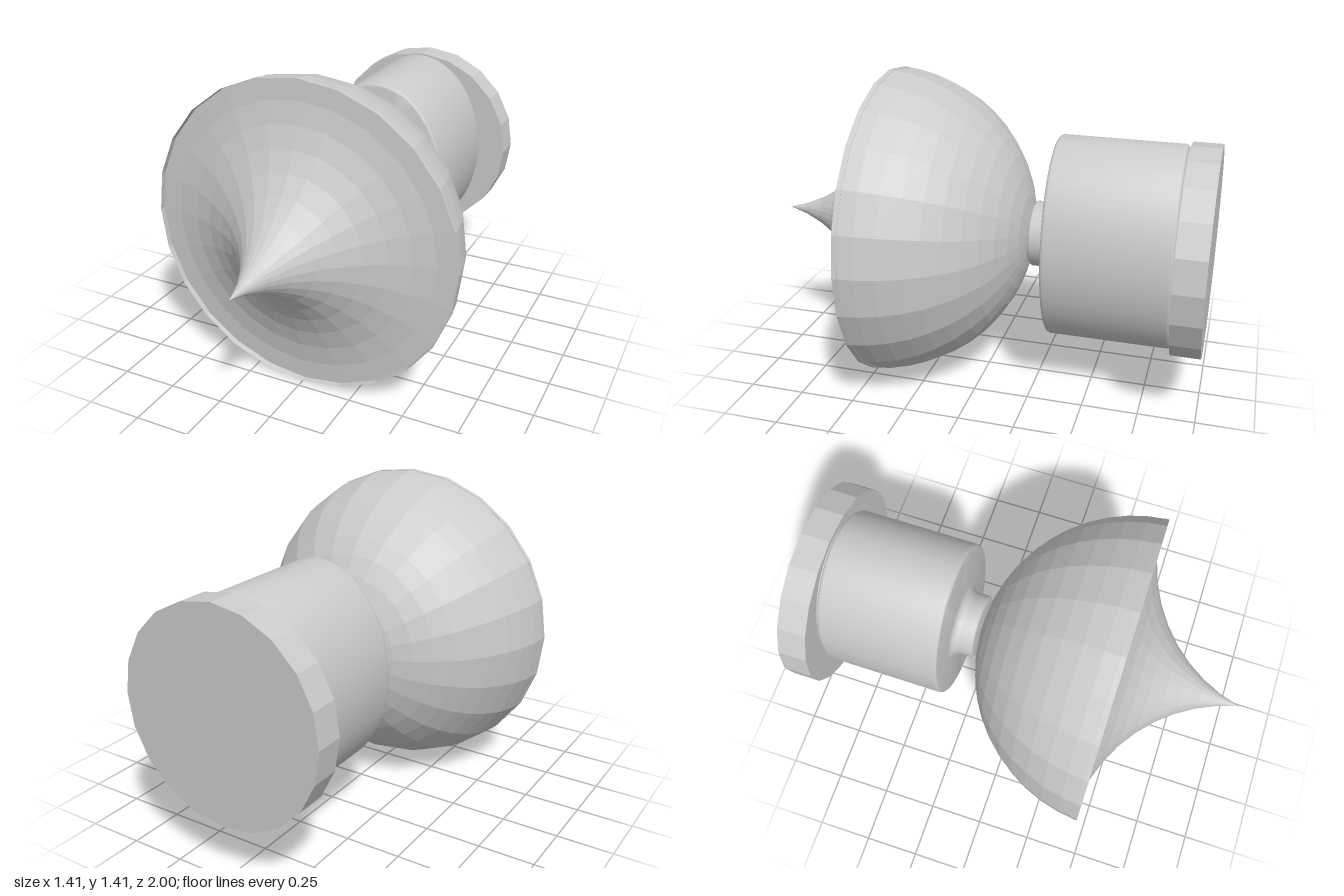
import * as THREE from 'three';
import { toCreasedNormals } from 'three/addons/utils/BufferGeometryUtils.js';

const CENTRE_Y = 0.705;

// Points [radius, z] on a circular arc, angles in degrees
function arc(cr, cz, radius, from, to, steps) {
  return Array.from({ length: steps + 1 }, (_, i) => {
    const a = THREE.MathUtils.degToRad(from + (to - from) * i / steps);
    return [Math.max(0, cr + radius * Math.cos(a)), cz + radius * Math.sin(a)];
  });
}

// Turned part along z; the profile runs from back to front
function turned(name, profile, sides, { flat = true, widthScale = 1 } = {}) {
  let geometry = new THREE.LatheGeometry(profile.map(p => new THREE.Vector2(...p)), sides);
  geometry.rotateX(Math.PI / 2);
  geometry.scale(widthScale, 1, 1);
  if (!flat) geometry = toCreasedNormals(geometry, Math.PI / 5);
  const mesh = new THREE.Mesh(geometry, new THREE.MeshStandardMaterial({
    color: 0xcccccc, flatShading: flat, side: THREE.DoubleSide,
  }));
  mesh.name = name;
  mesh.position.y = CENTRE_Y;
  return mesh;
}

export function createModel() {
  const group = new THREE.Group();

  // Faceted round base plate at the back
  group.add(turned('backPlate', [[0, -1], [0.465, -1], [0.465, -0.87], [0, -0.87]], 20));

  // Smooth oval barrel with softened edges
  group.add(turned('barrel', [
    [0, -0.88], [0.44, -0.88], [0.44, -0.865],
    ...arc(0.447, -0.847, 0.015, -90, 0, 4),
    ...arc(0.447, -0.325, 0.015, 0, 90, 4),
    [0, -0.31],
  ], 64, { flat: false, widthScale: 0.335 / 0.462 }));

  // Neck with a fillet into the barrel and a rounded front edge
  group.add(turned('neck', [
    [0.187, -0.312],
    ...arc(0.187, -0.27, 0.04, 270, 180, 6),
    ...arc(0.135, -0.222, 0.012, 0, 90, 4),
    [0, -0.205],
  ], 40, { flat: false }));

  // Faceted hemispherical bowl, cut just before its equator
  group.add(turned('dome', arc(0, 0.5, 0.705, -90, -3.2, 12), 24));

  // Concave face sweeping from the rim to a sharp point
  const tipAngle = THREE.MathUtils.radToDeg(Math.atan2(1 - 1.16, -0.705)) + 360;
  group.add(turned('spike', [
    [0.704, 0.46],
    ...arc(0.705, 1.16, 0.723, 270, tipAngle, 10).map(([r, z]) => [Math.min(r, 0.703), z]),
  ], 24));

  return group;
}
